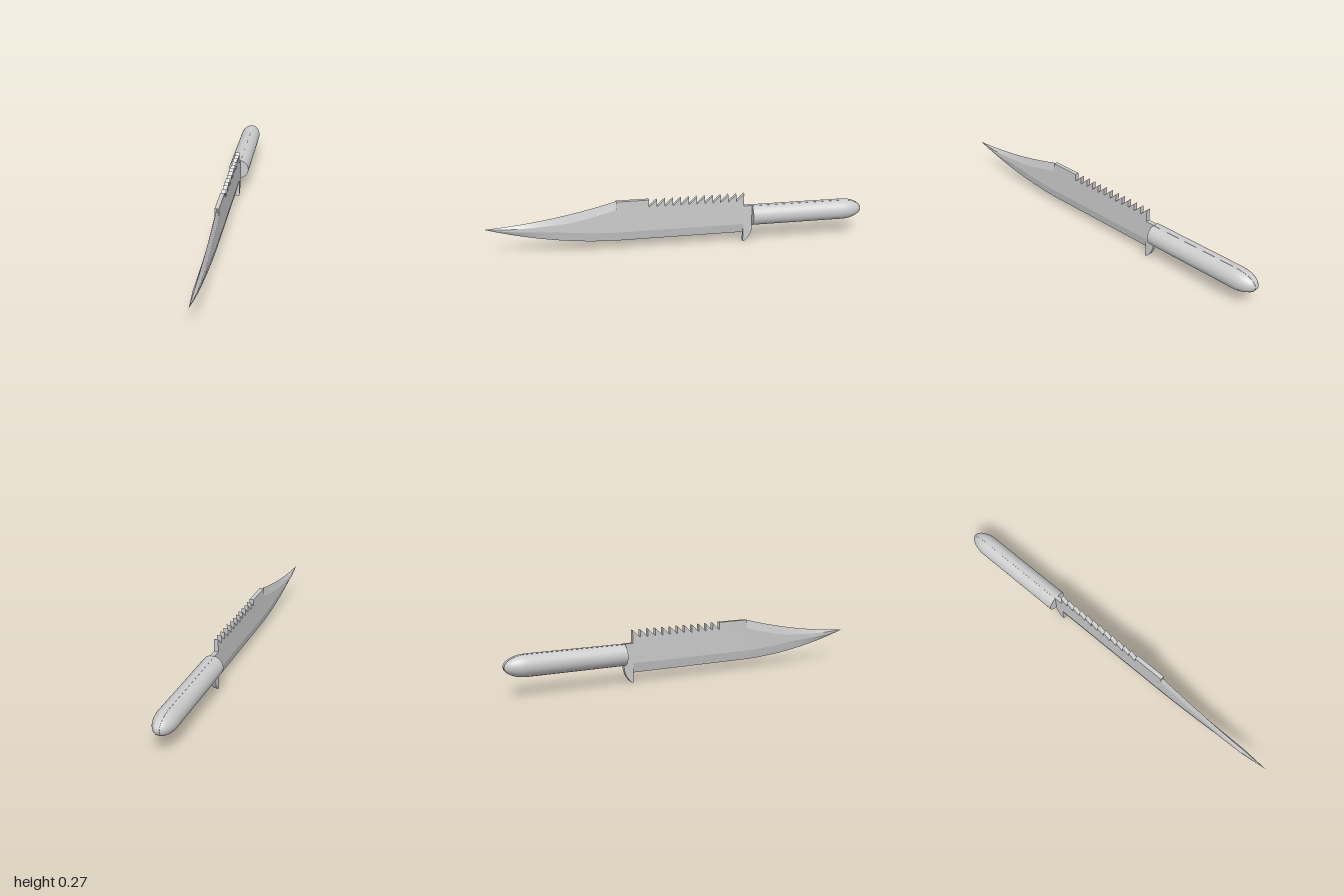
import * as THREE from 'three';

const HALF = 0.011;          // half thickness of the steel
const GRIP_Y = 0.147, GRIP_R = 0.055;
const GUARD_Z = -0.345, CLIP_Z = 0.33;

const smooth = () => new THREE.MeshStandardMaterial({ color: 0xcccccc });
const flat = () => new THREE.MeshStandardMaterial({ color: 0xcccccc, flatShading: true });

function add(group, name, geometry, material) {
  const mesh = new THREE.Mesh(geometry, material);
  mesh.name = name;
  group.add(mesh);
}

// Slab from a side profile drawn in (z, y), centred on x = 0
function slab(shape, half = HALF) {
  const g = new THREE.ExtrudeGeometry(shape, { depth: 2 * half, bevelEnabled: false, curveSegments: 16 });
  g.translate(0, 0, -half);
  g.rotateY(-Math.PI / 2);
  return g;
}

// Skin over equal-length sections, each counter-clockwise seen from +z, with end caps
function loft(sections) {
  const pos = [];
  const tri = (...pts) => pts.forEach((p) => pos.push(...p));
  const n = sections[0].length;
  for (let i = 0; i < sections.length - 1; i++) {
    for (let j = 0; j < n; j++) {
      const k = (j + 1) % n;
      const a = sections[i][j], b = sections[i][k];
      const c = sections[i + 1][k], d = sections[i + 1][j];
      tri(a, b, c);
      tri(a, c, d);
    }
  }
  const first = sections[0], last = sections[sections.length - 1];
  for (let j = 1; j < n - 1; j++) {
    tri(first[0], first[j + 1], first[j]);
    tri(last[0], last[j], last[j + 1]);
  }
  const g = new THREE.BufferGeometry();
  g.setAttribute('position', new THREE.Float32BufferAttribute(pos, 3));
  g.computeVertexNormals();
  return g;
}

// Six-sided blade section: sharp edge below, bevelled or flat top
function bladeSection(z, bottom, top, lowBevel, topBevel, h) {
  return [
    [0, bottom, z], [h, bottom + lowBevel, z], [h, top - topBevel, z],
    [0, top, z], [-h, top - topBevel, z], [-h, bottom + lowBevel, z],
  ];
}

export function createModel() {
  const knife = new THREE.Group();
  knife.name = 'knife';

  // Straight part of the blade with its ground edge
  add(knife, 'bladeBody', loft([GUARD_Z, CLIP_Z].map((z) =>
    bladeSection(z, 0.05, 0.2, 0.05, 0, HALF))), flat());

  // Spine with twelve saw teeth
  const spine = new THREE.Shape();
  spine.moveTo(GUARD_Z, 0.2);
  spine.lineTo(CLIP_Z, 0.2);
  spine.lineTo(CLIP_Z, 0.27);
  spine.lineTo(0.16, 0.27);
  const teeth = 12, pitch = (0.16 - GUARD_Z) / teeth;
  for (let i = 0; i < teeth; i++) {
    spine.lineTo(0.16 - i * pitch, 0.23);
    spine.lineTo(0.16 - (i + 1) * pitch, 0.27);
  }
  spine.closePath();
  add(knife, 'sawSpine', slab(spine), flat());

  // Clip point: concave top curve, convex edge curve, both bevelled
  const quad = (a, b, c, t) => (1 - t) ** 2 * a + 2 * t * (1 - t) * b + t * t * c;
  const point = [];
  const steps = 24;
  for (let i = 0; i <= steps; i++) {
    const t = i / steps;
    const z = CLIP_Z + (1 - CLIP_Z) * t;
    const bottom = quad(0.05, 0.055, 0.16, t);
    const top = quad(0.27, 0.178, 0.16, t);
    const height = top - bottom;
    point.push(bladeSection(z, bottom, top,
      Math.min(0.05, height * 0.4), Math.min(0.045, height * 0.3),
      HALF * Math.min(1, height / 0.05)));
  }
  add(knife, 'bladePoint', loft(point), flat());

  // Guard with a finger hook below
  const guard = new THREE.Shape();
  guard.moveTo(GUARD_Z, 0);
  guard.lineTo(GUARD_Z, 0.203);
  guard.lineTo(-0.395, 0.203);
  guard.lineTo(-0.395, 0.085);
  guard.quadraticCurveTo(-0.39, 0.03, GUARD_Z - 0.006, 0);
  guard.closePath();
  add(knife, 'guard', slab(guard), flat());

  // Round grip with a domed end
  const profile = [new THREE.Vector2(GRIP_R, 0.39)];
  for (let i = 0; i <= 12; i++) {
    const a = (i / 12) * Math.PI / 2;
    profile.push(new THREE.Vector2(GRIP_R * Math.cos(a), 0.89 + 0.11 * Math.sin(a)));
  }
  const grip = new THREE.LatheGeometry(profile, 48);
  grip.rotateX(-Math.PI / 2);
  grip.translate(0, GRIP_Y, 0);
  add(knife, 'grip', grip, smooth());

  const face = new THREE.CircleGeometry(GRIP_R, 48);
  face.translate(0, GRIP_Y, -0.39);
  add(knife, 'gripFace', face, smooth());

  // Tang showing as a thin strip along the grip
  const r = GRIP_R - 0.0003;
  const tang = new THREE.Shape();
  tang.moveTo(-0.392, GRIP_Y - r);
  tang.lineTo(-0.392, GRIP_Y + r);
  tang.lineTo(-0.89, GRIP_Y + r);
  tang.absellipse(-0.89, GRIP_Y, 0.1095, r, Math.PI / 2, Math.PI * 1.5, false, 0);
  tang.closePath();
  add(knife, 'tang', slab(tang), flat());

  return knife;
}
